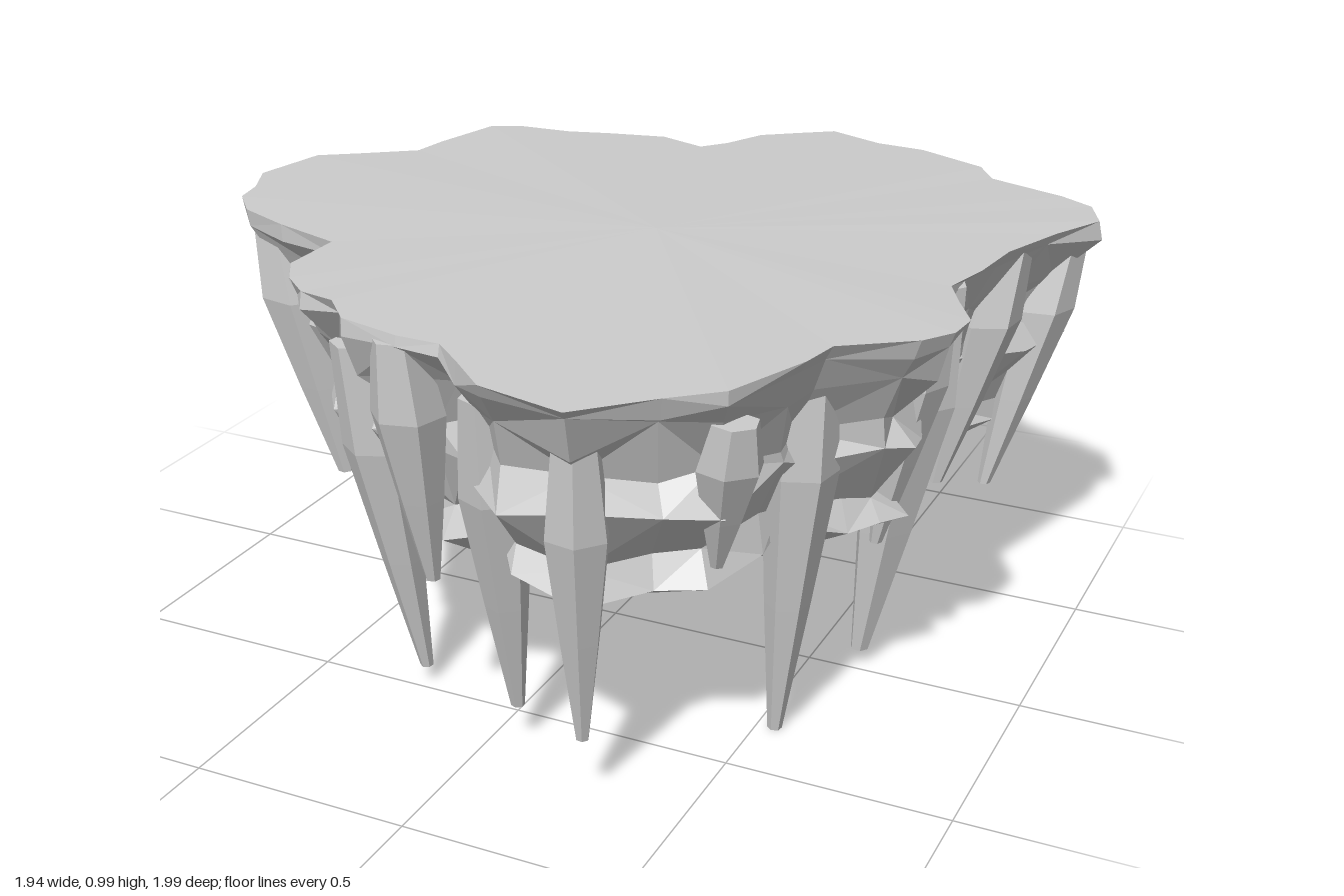
import * as THREE from 'three';

// Plateau outline as x, z pairs, clockwise from the back tip
const OUTLINE = [
  0.16, -1, 0.3, -0.94, 0.42, -0.92, 0.6, -0.84, 0.65, -0.75, 0.84, -0.68, 0.92, -0.63, 0.97, -0.53,
  0.9, -0.4, 0.84, -0.23, 0.82, -0.08, 0.8, 0.04, 0.83, 0.12, 0.89, 0.22, 0.88, 0.3, 0.84, 0.37,
  0.69, 0.47, 0.68, 0.57, 0.6, 0.77, 0.5, 0.85, 0.37, 0.99, 0.17, 0.95, 0.07, 0.85, 0, 0.79,
  -0.1, 0.78, -0.25, 0.75, -0.32, 0.67, -0.41, 0.65, -0.48, 0.59, -0.53, 0.51, -0.53, 0.35, -0.7, 0.29,
  -0.83, 0.23, -0.9, 0.15, -0.92, 0.07, -0.97, -0.03, -0.93, -0.22, -0.85, -0.28, -0.73, -0.37, -0.72, -0.47,
  -0.67, -0.65, -0.6, -0.69, -0.47, -0.7, -0.37, -0.73, -0.22, -0.75, -0.1, -0.71, -0.05, -0.77, 0, -0.88, 0.08, -0.93,
];
const N = OUTLINE.length / 2;

// Rock layers from top to bottom: height, scale, scale jitter, height jitter, x shift, z shift
const LAYERS = [
  [0.972, 0.995, 0.008, 0.001, 0, 0],
  [0.935, 0.985, 0.022, 0.014, 0, 0],
  [0.86, 0.93, 0.03, 0.028, 0, -0.01],
  [0.755, 0.865, 0.03, 0.028, -0.005, -0.03],
  [0.69, 0.92, 0.04, 0.022, -0.005, -0.04],
  [0.54, 0.8, 0.025, 0.018, -0.01, -0.04],
  [0.48, 0.835, 0.035, 0.022, -0.01, -0.04],
  [0.03, 0.07, 0.01, 0.005, -0.05, -0.1],
];

// Stalactites: tip x, tip y, tip z, top y, widest radius, outward lean
const STALACTITES = [
  [-0.73, 0.31, -0.04, 0.88, 0.07, 0.14], [-0.66, 0.31, 0.14, 0.95, 0.09, 0.19],
  [-0.38, 0.17, 0.27, 0.78, 0.07, 0.3], [-0.25, 0.04, 0.47, 0.86, 0.075, 0.27],
  [-0.11, 0.38, 0.66, 0.95, 0.08, 0.12], [0.06, 0.09, 0.61, 0.86, 0.075, 0.22],
  [0.29, 0.15, 0.76, 0.86, 0.07, 0.12], [0.54, 0, 0.32, 0.92, 0.08, 0.13],
  [0.61, 0.04, -0.03, 0.95, 0.105, 0.2], [0.68, 0.39, 0.11, 0.95, 0.07, 0.15],
  [0.69, 0.37, -0.29, 0.95, 0.08, 0.17], [0.76, 0.31, -0.46, 0.95, 0.075, 0.17],
  [0.51, 0.14, -0.58, 0.86, 0.07, 0.22], [0.26, 0.08, -0.7, 0.86, 0.075, 0.18],
  [0.08, 0.09, -0.69, 0.88, 0.08, 0.2], [-0.28, 0.16, -0.53, 0.86, 0.075, 0.24],
  [0.52, 0.53, 0.62, 0.88, 0.07, 0.12],
];

let seed = 7;
function jitter(amount) {
  seed = (seed * 16807) % 2147483647;
  return (seed / 2147483647 * 2 - 1) * amount;
}

function makeGeometry(positions, index) {
  const g = new THREE.BufferGeometry();
  g.setAttribute('position', new THREE.Float32BufferAttribute(positions, 3));
  g.setIndex(index);
  g.computeVertexNormals();
  return g;
}

// One jagged ring of the rock; lower rings drift towards the base point
function ring([y, s, js, jy, dx, dz]) {
  const pts = [];
  for (let j = 0; j < N; j++) {
    const k = s + jitter(js);
    pts.push(OUTLINE[2 * j] * k + dx, y + jitter(jy), OUTLINE[2 * j + 1] * k + dz);
  }
  return pts;
}

// Skin joining successive rings
function skin(rings) {
  const index = [];
  for (let i = 0; i < rings.length - 1; i++) {
    for (let j = 0; j < N; j++) {
      const n = (j + 1) % N;
      const a = i * N + j, b = i * N + n, c = a + N, d = b + N;
      if ((i + j) % 2) index.push(a, b, d, a, d, c);
      else index.push(a, b, c, b, d, c);
    }
  }
  return makeGeometry(rings.flat(), index);
}

// Fan closing a ring
function cap(points, centre, up) {
  const index = [];
  for (let j = 0; j < N; j++) {
    const n = (j + 1) % N;
    index.push(N, up ? n : j, up ? j : n);
  }
  return makeGeometry([...points, ...centre], index);
}

// Six-sided spike, widest in its upper third, leaning outwards at the top
function stalactite([x, y, z, top, r, lean]) {
  const h = top - y;
  const profile = [[0, 0], [0.2, 0], [0.62, 0.35], [1, 0.7], [0.7, 1], [0, 1]]
    .map(([pr, t]) => new THREE.Vector2(pr * r, t * h));
  const g = new THREE.LatheGeometry(profile, 6, jitter(1));
  const p = g.attributes.position;
  for (let i = 0; i < p.count; i++) {
    const k = 1 + lean * p.getY(i) / h;
    p.setXYZ(i, p.getX(i) + x * k, p.getY(i) + y, p.getZ(i) + z * k);
  }
  g.computeVertexNormals();
  return g;
}

export function createModel() {
  const stone = new THREE.MeshStandardMaterial({ color: 0xcccccc, flatShading: true });
  stone.name = 'grey stone';
  const model = new THREE.Group();
  model.name = 'floatingRockIsland';
  const add = (name, geometry, parent = model) => {
    const mesh = new THREE.Mesh(geometry, stone);
    mesh.name = name;
    parent.add(mesh);
  };

  const rings = LAYERS.map(ring);
  add('plateau', cap(rings[0], [0.1, 0.99, 0], true));
  add('cliffWall', skin(rings.slice(0, 7)));
  add('undersideCone', skin(rings.slice(6)));
  add('baseTip', cap(rings[7], [-0.05, 0.025, -0.1], false));

  const spikes = new THREE.Group();
  spikes.name = 'stalactites';
  model.add(spikes);
  STALACTITES.forEach((s, i) => add('stalactite' + (i + 1), stalactite(s), spikes));
  return model;
}
